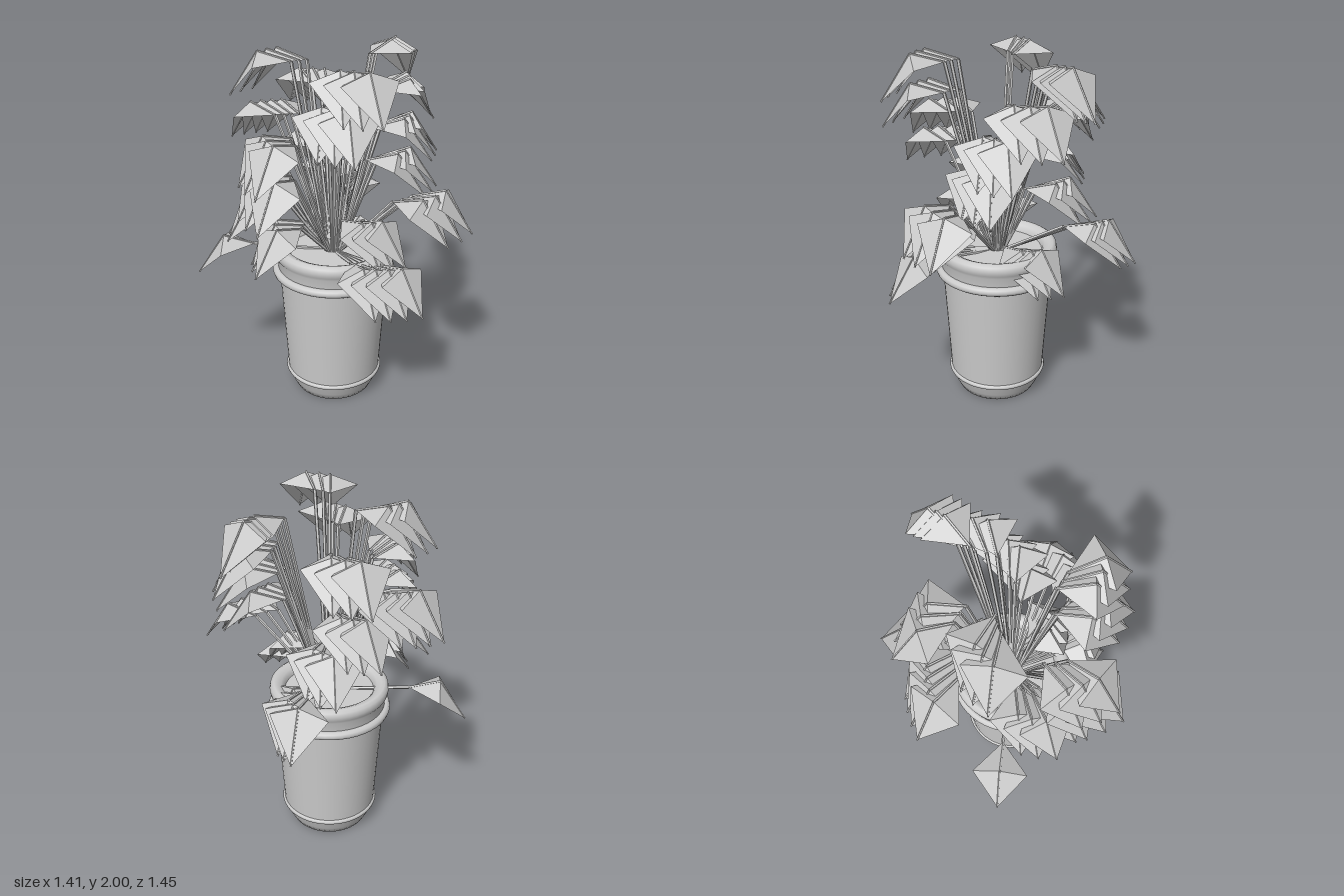
import * as THREE from 'three';

const material = new THREE.MeshStandardMaterial({ color: 0xcccccc });
const leafMaterial = new THREE.MeshStandardMaterial({ color: 0xcccccc, flatShading: true, side: THREE.DoubleSide });
const rodGeometry = new THREE.CylinderGeometry(1, 1, 1, 5);
const UP = new THREE.Vector3(0, 1, 0);

function rod(name, a, b, radius) {
  const from = new THREE.Vector3(...a), to = new THREE.Vector3(...b);
  const dir = to.clone().sub(from);
  const mesh = new THREE.Mesh(rodGeometry, leafMaterial);
  mesh.name = name;
  mesh.position.copy(from).addScaledVector(dir, 0.5);
  mesh.scale.set(radius, dir.length(), radius);
  mesh.quaternion.setFromUnitVectors(UP, dir.normalize());
  return mesh;
}

// Folded diamond blade: base, crest, tip and two side corners, tip at the origin
const BASE = [-0.33, 0.185, 0], CREST = [-0.155, 0.235, 0], TIP = [0, 0, 0];
const leafGeometry = (() => {
  const L = [-0.155, 0.18, -0.15], R = [-0.155, 0.18, 0.15];
  const faces = [BASE, R, CREST, CREST, R, TIP, BASE, CREST, L, CREST, TIP, L];
  const g = new THREE.BufferGeometry();
  g.setAttribute('position', new THREE.Float32BufferAttribute(faces.flat(), 3));
  g.computeVertexNormals();
  return g;
})();

// One stalk with its leaf, growing along +x, then turned about the pot axis
function createLeafStalk(radius, height, angle) {
  const stalk = new THREE.Group();
  stalk.name = 'leafStalk';
  const at = (p) => [p[0] + radius, p[1] + height, p[2]];
  const base = at(BASE), crest = at(CREST), tip = at(TIP);
  const leaf = new THREE.Mesh(leafGeometry, leafMaterial);
  leaf.name = 'leaf';
  leaf.position.set(radius, height, 0);
  stalk.add(
    leaf,
    rod('stem', [0.038, 0.88, 0], base, 0.01),
    rod('innerMidrib', base, crest, 0.007),
    rod('outerMidrib', crest, tip, 0.005),
  );
  stalk.rotation.y = -angle;
  return stalk;
}

function createPot() {
  const pot = new THREE.Group();
  pot.name = 'pot';
  const lathe = (name, points) => {
    const mesh = new THREE.Mesh(
      new THREE.LatheGeometry(points.map(([r, y]) => new THREE.Vector2(r, y)), 48), material);
    mesh.name = name;
    pot.add(mesh);
  };
  const ring = (name, radius, y, tube) => {
    const mesh = new THREE.Mesh(new THREE.TorusGeometry(radius, tube, 10, 48), material);
    mesh.name = name;
    mesh.rotation.x = Math.PI / 2;
    mesh.position.y = y;
    pot.add(mesh);
  };
  lathe('foot', [[0, 0], [0.228, 0], [0.25, 0.045], [0.272, 0.105]]);
  lathe('body', [[0.272, 0.105], [0.309, 0.76]]);
  lathe('rim', [[0.309, 0.76], [0.318, 0.8], [0.32, 0.85], [0.333, 0.87], [0.338, 0.895],
    [0.333, 0.92], [0.315, 0.932], [0.295, 0.93], [0.27, 0.918], [0.255, 0.9], [0.25, 0.875]]);
  ring('lowerBand', 0.27, 0.115, 0.015);
  ring('upperBand', 0.324, 0.775, 0.025);
  lathe('soil', [[0.253, 0.882], [0.12, 0.885], [0, 0.885]]);
  return pot;
}

export function createModel() {
  const model = new THREE.Group();
  model.name = 'pottedPlant';
  const pot = createPot();
  const foliage = new THREE.Group();
  foliage.name = 'foliage';

  const crown = new THREE.Mesh(new THREE.CylinderGeometry(0.047, 0.047, 0.09, 20), material);
  crown.name = 'crown';
  crown.position.y = 0.92;
  foliage.add(crown);

  // Fans of each tier, top to bottom: leading tip x, z, then leaf count, turn and draw-in per leaf
  const tiers = [
    [[0.69, 0.055, 3, 0.03, 0.04], [-0.32, 0.51], [-0.275, -0.475]],
    [[0.63, 0.195], [-0.43, 0.43], [0.30, -0.53]],
    [[-0.02, -0.72, 4, 0.1, 0.03], [-0.68, 0.03], [0.47, 0.37]],
    [[-0.71, 0.06], [0.38, 0.43], [0.19, -0.51]],
    [[0.27, 0.72], [-0.56, -0.28], [0.39, -0.39]],
    [[0.69, -0.36, 3, 0.06, 0.03], [-0.56, -0.1], [0.005, 0.475]],
    [[-0.445, -0.635, 1], [-0.14, 0.67, 4, 0.12], [0.47, -0.04]],
  ];
  tiers.forEach((fans, tier) => fans.forEach(([x, z, count = 3, turn = 0.15, drawIn = 0.035]) => {
    for (let i = 0; i < count; i++) {
      const radius = Math.hypot(x, z) - drawIn * i;
      const angle = Math.atan2(z, x) + turn * i;
      foliage.add(createLeafStalk(radius, 1.762 - 0.172 * tier, angle));
    }
  }));

  pot.position.set(0.01, 0, -0.003);
  foliage.position.set(0.01, 0, -0.005);
  model.add(pot, foliage);
  return model;
}
